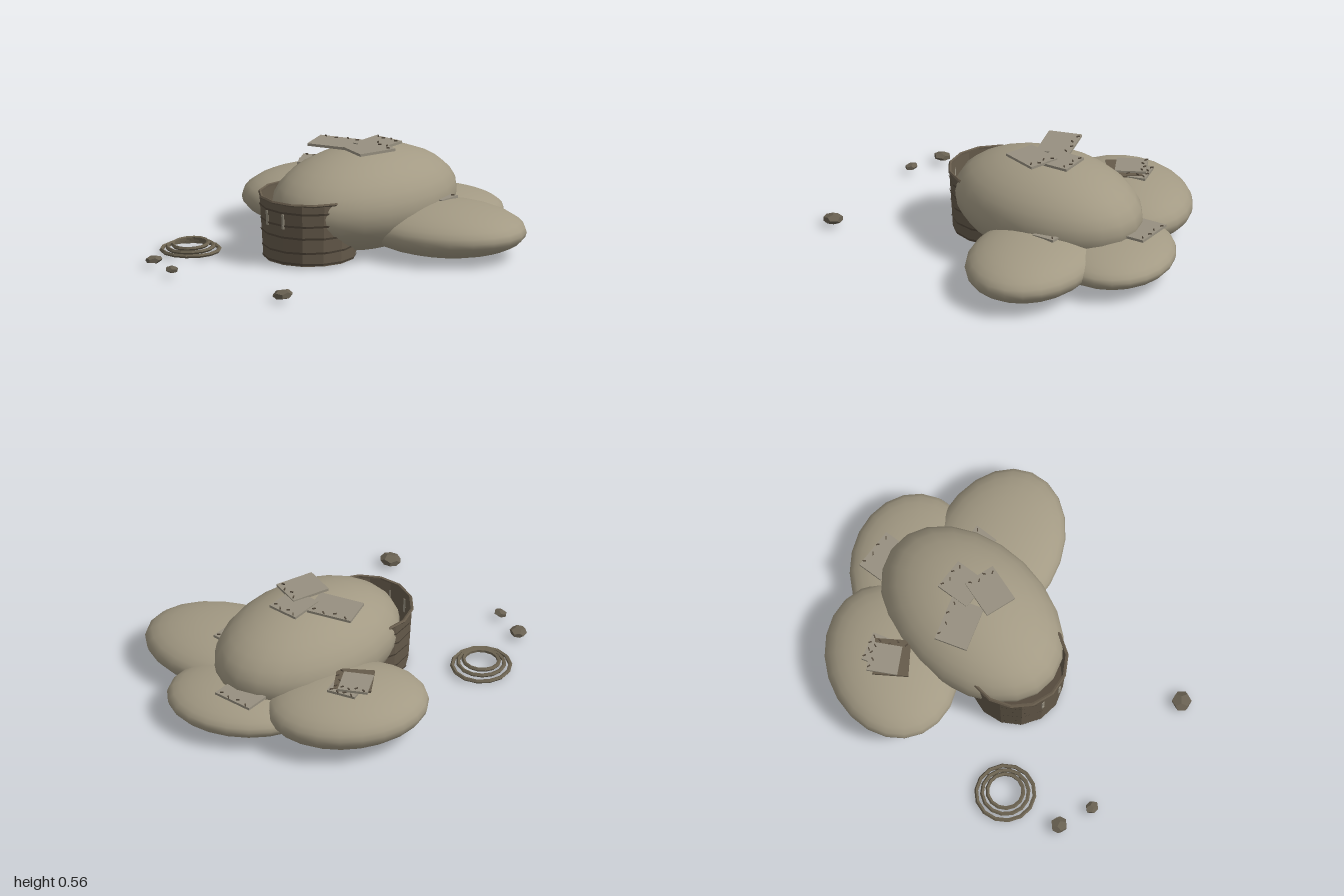
import * as THREE from 'three';

export function createModel() {
  const root = new THREE.Group();
  root.name = 'sackPileWithBasket';

  const mat = (name, color, flat = false, side = THREE.FrontSide) => {
    const m = new THREE.MeshStandardMaterial({ color, flatShading: flat, side });
    m.name = name;
    return m;
  };
  const cloth = mat('cloth', 0xa39a84);
  const patch = mat('patch', 0x979080, true);
  const wicker = mat('wicker', 0x665b4b, true, THREE.DoubleSide);
  const darkWicker = mat('darkWicker', 0x544a3d, true);
  const rope = mat('rope', 0x6b6250, true);
  const stone = mat('stone', 0x686051, true);

  const add = (name, geo, material, pos, rot = [0, 0, 0], scale = [1, 1, 1], parent = root) => {
    const m = new THREE.Mesh(geo, material);
    m.name = name;
    m.position.set(...pos);
    m.rotation.set(...rot);
    m.scale.set(...scale);
    parent.add(m);
    return m;
  };

  // Soft overlapping lobes
  const ball = new THREE.SphereGeometry(1, 22, 16);
  add('mainLobe', ball, cloth, [0, 0.278, -0.19], [0, 0, 0], [0.39, 0.268, 0.56]);
  add('rightLobe', ball, cloth, [-0.46, 0.175, -0.325], [0, -0.5, 0], [0.346, 0.155, 0.435]);
  add('leftLobe', ball, cloth, [0.38, 0.147, -0.395], [0, 0.38, 0], [0.465, 0.139, 0.34]);
  add('backLobe', ball, cloth, [0, 0.13, -0.625], [0, 0.7, 0], [0.418, 0.115, 0.339]);

  // Open tapered basket, partly swallowed by the main lobe
  const basket = new THREE.Group();
  basket.name = 'basket';
  basket.position.set(-0.03, 0, 0.175);
  root.add(basket);
  const sides = 14;
  const half = Math.PI / sides;
  const radiusAt = (y) => 0.243 + (y - 0.02) * 0.062;
  add('basketWall', new THREE.CylinderGeometry(radiusAt(0.36), radiusAt(0.02), 0.34, sides, 1, true),
    wicker, [0, 0.19, 0], [0, half, 0], [1, 1, 1], basket);
  add('basketBase', new THREE.CylinderGeometry(0.243, 0.243, 0.012, sides),
    darkWicker, [0, 0.026, 0], [0, half, 0], [1, 1, 1], basket);
  [0.03, 0.095, 0.17, 0.24, 0.305].forEach((y, i) => {
    const r = radiusAt(y);
    add('basketHoop', new THREE.CylinderGeometry(r + 0.007, r + 0.003, 0.012, sides, 1, true),
      darkWicker, [0, y, 0], [i % 2 ? 0.012 : -0.012, half + (i % 2) * 0.08, 0], [1, 1, 1], basket);
  });
  const rim = new THREE.TorusGeometry(0.264, 0.009, 5, sides).rotateX(Math.PI / 2);
  add('basketRim', rim, wicker, [0, 0.356, 0], [0, half, 0], [1, 1, 1], basket);

  // Narrow gaps in the weave
  [-0.055, 0.065].forEach((x) => {
    add('weaveGap', new THREE.BoxGeometry(0.016, 0.07, 0.006), patch,
      [x, 0.265, 0.2515], [0.06, 0, 0], [1, 1, 1], basket);
    add('weaveGap', new THREE.BoxGeometry(0.016, 0.02, 0.006), patch,
      [x, 0.23, 0.2515], [0.06, 0, 0], [1, 1, 1], basket);
  });

  // Thin square patches with little stitches along the far edge
  const stitch = new THREE.BoxGeometry(0.018, 0.008, 0.006);
  const addPatch = (x, y, z, w, d, turn, material = patch, tilt = 0) => {
    const g = new THREE.Group();
    g.name = 'patch';
    g.position.set(x, y, z);
    g.rotation.set(0, turn, tilt);
    root.add(g);
    add('patchPanel', new THREE.BoxGeometry(w, 0.014, d), material, [0, 0, 0], [0, 0, 0], [1, 1, 1], g);
    [-0.36, -0.1, 0.14, 0.38].forEach((k, i) =>
      add('stitch', stitch, darkWicker, [k * w, 0.009, -d * (i % 2 ? 0.36 : 0.44)],
        [0, i % 2 ? 0.7 : -0.8, 0], [1, 1, 1], g));
  };
  addPatch(-0.155, 0.546, -0.13, 0.25, 0.18, 0.42);
  addPatch(0.01, 0.551, -0.275, 0.175, 0.19, 0.14);
  addPatch(0.085, 0.559, -0.145, 0.175, 0.215, -0.2);
  addPatch(-0.485, 0.33, -0.3, 0.19, 0.2, -0.85, wicker);
  addPatch(-0.52, 0.341, -0.32, 0.16, 0.165, 0.62);
  addPatch(-0.51, 0.327, -0.39, 0.16, 0.1, 0.4);
  addPatch(-0.1, 0.25, -0.755, 0.23, 0.14, 0.14);
  addPatch(0.29, 0.284, -0.45, 0.16, 0.13, 0.12);

  // Coil of three loops lying on the ground
  [[0.153, 0.03], [0.122, 0.045], [0.094, 0.06]].forEach(([r, y], i) => {
    const loop = new THREE.TorusGeometry(r, 0.011, 5, 14).rotateX(Math.PI / 2);
    add('ropeLoop', loop, rope, [-0.512, y, 0.58], [i * 0.03, i * 0.2, 0.02]);
  });

  // Scattered pebbles
  const pebble = new THREE.DodecahedronGeometry(1, 0);
  [[-0.44, 0.05, 0.91, 0.046, 0.022, 0.048, 0.3],
    [-0.247, 0.045, 0.96, 0.032, 0.018, 0.04, 1.6],
    [0.505, 0.045, 0.865, 0.056, 0.028, 0.055, 0.8]].forEach(([x, y, z, a, b, c, turn]) =>
    add('pebble', pebble, stone, [x, y, z], [0, turn, 0.12], [a, b, c]));

  return root;
}
